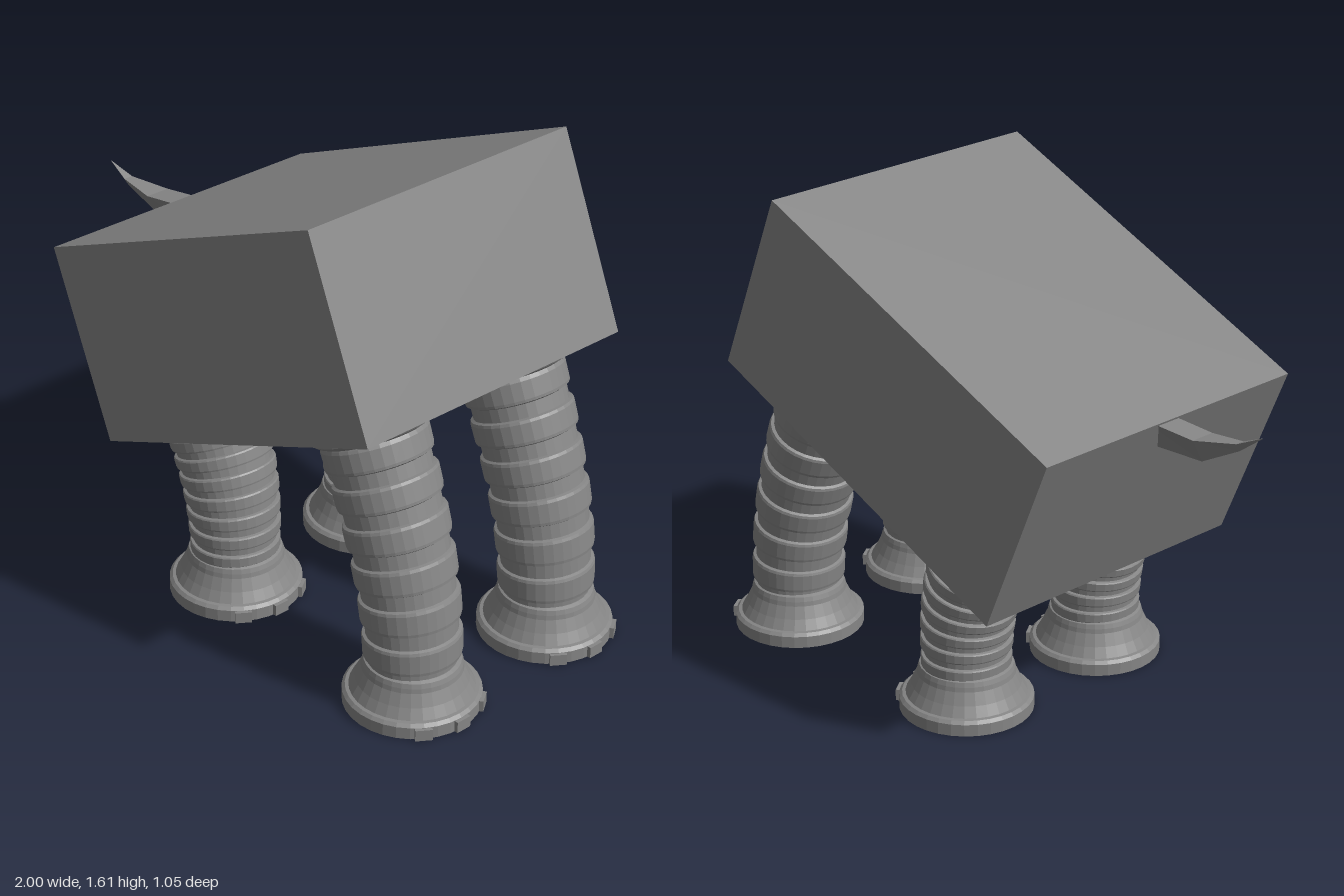
import * as THREE from 'three';

const SIDES = 32;
const TILT = Math.atan2(0.515, 1.215);
const mat = new THREE.MeshStandardMaterial({ color: 0x868686, flatShading: true });

function add(parent, geometry, name, x = 0, y = 0, z = 0) {
  const mesh = new THREE.Mesh(geometry, mat);
  mesh.name = name;
  mesh.position.set(x, y, z);
  parent.add(mesh);
  return mesh;
}

// Skin closed cross-sections (counter-clockwise seen from the far end), capping both ends.
function loft(sections) {
  const n = sections[0].length, pos = [], idx = [];
  sections.forEach(s => s.forEach(p => pos.push(p.x, p.y, p.z)));
  for (let i = 0; i < sections.length - 1; i++) {
    for (let j = 0; j < n; j++) {
      const a = i * n + j, b = i * n + (j + 1) % n;
      idx.push(a, b, b + n, a, b + n, a + n);
    }
  }
  const last = (sections.length - 1) * n;
  for (let j = 1; j < n - 1; j++) {
    idx.push(0, j + 1, j, last, last + j, last + j + 1);
  }
  const g = new THREE.BufferGeometry();
  g.setAttribute('position', new THREE.Float32BufferAttribute(pos, 3));
  g.setIndex(idx);
  g.computeVertexNormals();
  return g;
}

// Bellows leg: ribbed rings swept along a curve, ending in a flange under the body.
function bellows(top, ribs, r0, r1) {
  const curve = new THREE.CubicBezierCurve3(
    new THREE.Vector3(0, 0.13, 0),
    new THREE.Vector3(0, 0.13 + (top.y - 0.13) * 0.36, 0),
    new THREE.Vector3(top.x + Math.sin(TILT) * top.y * 0.36, top.y - Math.cos(TILT) * top.y * 0.36, 0),
    top);
  const stations = [];
  for (let i = 0; i < ribs; i++) {
    for (const [u, k] of [[0, 0.92], [0.34, 0.92], [0.38, 0.99], [0.45, 1], [0.9, 1], [0.97, 0.98]]) {
      const t = 0.95 * (i + u) / ribs;
      stations.push([t, (r0 + (r1 - r0) * t) * k]);
    }
  }
  stations.push([0.95, 0.16], [0.958, 0.175], [0.97, 0.186], [0.995, 0.186], [1, 0.18]);
  return loft(stations.map(([t, r]) => {
    const p = curve.getPointAt(t), d = curve.getTangentAt(t);
    const ring = [];
    for (let j = 0; j < SIDES; j++) {
      const a = -j / SIDES * Math.PI * 2, c = Math.cos(a) * r;
      ring.push(new THREE.Vector3(p.x + d.y * c, p.y - d.x * c, Math.sin(a) * r * 1.05));
    }
    return ring;
  }));
}

// Flared foot with three small toe tabs on its forward rim.
function foot(leg) {
  const profile = [[0, 0], [0.218, 0], [0.218, 0.04], [0.208, 0.05], [0.197, 0.052], [0.178, 0.085],
    [0.16, 0.125], [0.157, 0.14], [0.152, 0.155], [0.14, 0.16], [0, 0.16]]
    .map(p => new THREE.Vector2(...p));
  add(leg, new THREE.LatheGeometry(profile, SIDES), 'foot');
  for (const a of [-0.6, 0, 0.6]) {
    const toe = add(leg, new THREE.BoxGeometry(0.02, 0.038, 0.054), 'toe',
      Math.cos(a) * 0.219, 0.02, Math.sin(a) * 0.219);
    toe.rotation.y = -a;
  }
}

export function createModel() {
  const model = new THREE.Group();
  model.name = 'boxAnimal';

  // Tilted box body
  add(model, new THREE.BoxGeometry(1.322, 0.657, 1.05), 'body', 0.07, 1.046, 0).rotation.z = TILT;

  // Long front legs and short, tightly ribbed back legs
  const frontLeg = bellows(new THREE.Vector3(-0.202, 0.905, 0), 6, 0.15, 0.166);
  const backLeg = bellows(new THREE.Vector3(-0.09, 0.594, 0), 7, 0.141, 0.161);
  for (const [name, geometry, x] of [['frontLeg', frontLeg, 0.769], ['backLeg', backLeg, -0.067]]) {
    for (const side of [1, -1]) {
      const leg = new THREE.Group();
      leg.name = name;
      leg.position.set(x, 0, side * 0.292);
      add(leg, geometry, 'bellows');
      foot(leg);
      model.add(leg);
    }
  }

  // Keeled tail: x, top y, bottom y, z range
  const tail = [[-0.6, 1.09, 0.993, -0.065, 0.025], [-0.79, 1.07, 0.99, -0.042, 0.044],
    [-0.92, 1.085, 1.058, 0.005, 0.037], [-1, 1.121, 1.119, 0.027, 0.029]]
    .map(([x, yt, yb, z0, z1]) => [
      new THREE.Vector3(x, yt, z0),
      new THREE.Vector3(x, yb, (z0 + z1) / 2),
      new THREE.Vector3(x, yt, z1),
    ]);
  add(model, loft(tail), 'tail');
  return model;
}
